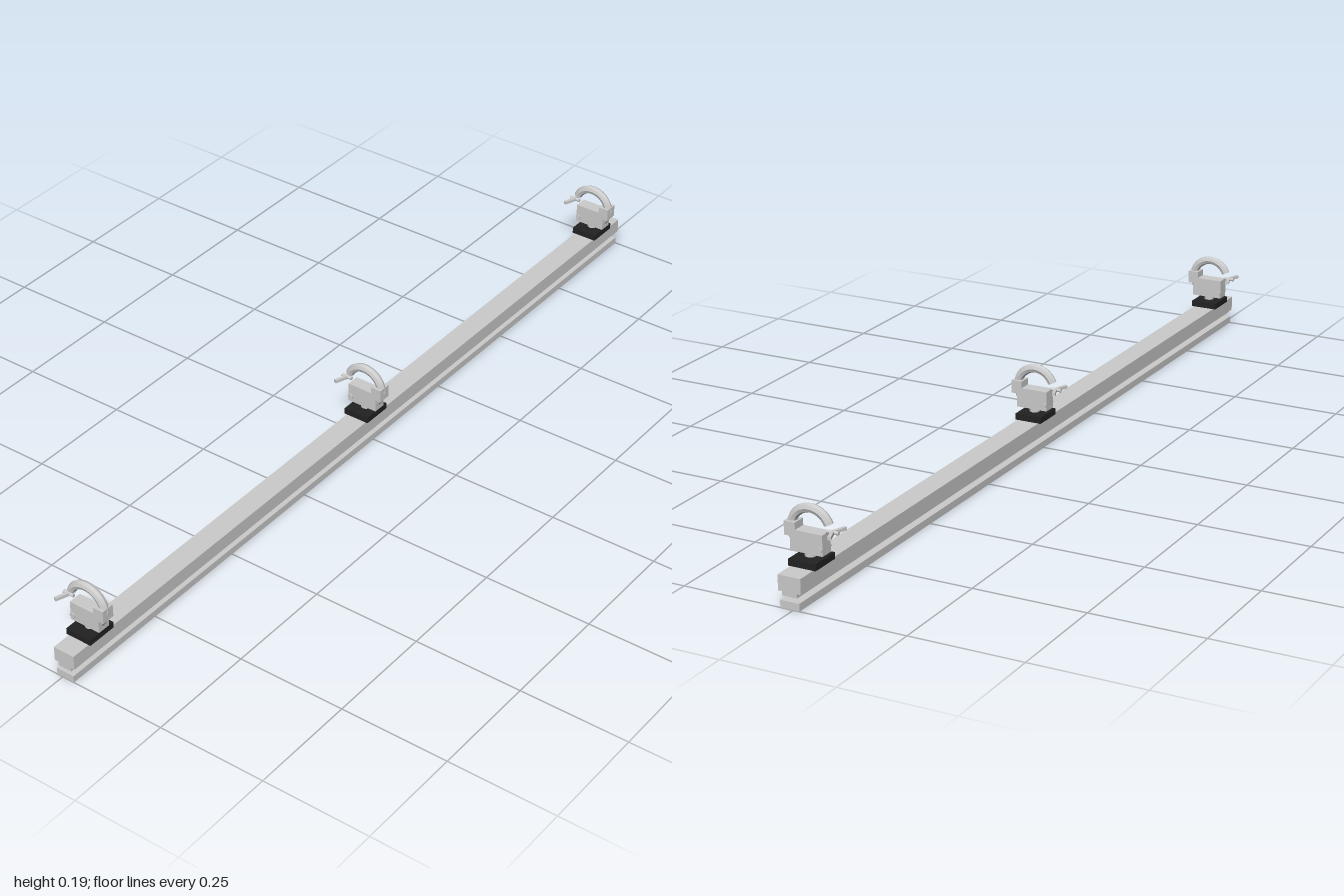
import * as THREE from 'three';

const grey = new THREE.MeshStandardMaterial({ color: 0xcccccc, flatShading: true });
const black = new THREE.MeshStandardMaterial({ color: 0x222222, flatShading: true });

function add(parent, name, geometry, material = grey) {
  const mesh = new THREE.Mesh(geometry, material);
  mesh.name = name;
  parent.add(mesh);
  return mesh;
}

// Box given by its width in x and its limits in y and z
function box(parent, name, width, y0, y1, z0, z1, material) {
  const mesh = add(parent, name, new THREE.BoxGeometry(width, y1 - y0, z1 - z0), material);
  mesh.position.set(0, (y0 + y1) / 2, (z0 + z1) / 2);
  return mesh;
}

// Cylinder lying along z
function rod(parent, name, radius, y, z0, z1, sides) {
  const geometry = new THREE.CylinderGeometry(radius, radius, z1 - z0, sides).rotateX(Math.PI / 2);
  const mesh = add(parent, name, geometry);
  mesh.position.set(0, y, (z0 + z1) / 2);
  return mesh;
}

// Curved clamp arm in the y-z plane
class HookCurve extends THREE.Curve {
  getPoint(t, target = new THREE.Vector3()) {
    const a = THREE.MathUtils.degToRad(158 - 208 * t);
    return target.set(0, 0.137 + 0.0435 * Math.sin(a), 0.006 - 0.0435 * Math.cos(a));
  }
}

// The curve runs from the front lug, over the top, to the hinge at the back
function hookGeometry() {
  const curve = new HookCurve();
  const parts = new THREE.TubeGeometry(curve, 28, 0.0098, 8, false);
  const p = parts.attributes.position;
  for (let i = 0; i < p.count; i++) p.setZ(i, 0.012 - p.getZ(i));
  // Mirroring z turns the faces over, so swap the corner order back
  const idx = parts.index;
  for (let i = 0; i < idx.count; i += 3) {
    const b = idx.getX(i + 1);
    idx.setX(i + 1, idx.getX(i + 2));
    idx.setX(i + 2, b);
  }
  parts.computeVertexNormals();
  return parts;
}

function createClamp() {
  const clamp = new THREE.Group();
  clamp.name = 'clamp';

  box(clamp, 'basePlate', 0.07, 0.068, 0.082, -0.024, 0.038, black);
  const neck = add(clamp, 'neck', new THREE.CylinderGeometry(0.0115, 0.0115, 0.01, 12));
  neck.position.set(0, 0.0865, 0.0085);

  box(clamp, 'clampBody', 0.03, 0.091, 0.135, -0.028, 0.045);
  box(clamp, 'frontLug', 0.03, 0.121, 0.15, 0.033, 0.058);

  // Hook with closed ends
  const hook = add(clamp, 'hookArm', hookGeometry());
  hook.material = new THREE.MeshStandardMaterial({ color: 0xcccccc, flatShading: true, side: THREE.DoubleSide });
  for (const degrees of [158, -50]) {
    const a = THREE.MathUtils.degToRad(degrees);
    const cap = add(clamp, 'hookEnd', new THREE.CylinderGeometry(0.0096, 0.0096, 0.002, 8));
    cap.position.set(0, 0.137 + 0.0435 * Math.sin(a), 0.006 - 0.0435 * Math.cos(a));
    cap.rotation.x = a;
  }

  // Hinge pin across the back of the body
  const pin = add(clamp, 'hingePin', new THREE.CylinderGeometry(0.006, 0.006, 0.036, 10).rotateZ(Math.PI / 2));
  pin.position.set(0, 0.104, -0.022);

  // Clamping screw with two swept wings
  rod(clamp, 'screw', 0.004, 0.139, -0.056, -0.03, 10);
  for (const side of [-1, 1]) {
    const wing = add(clamp, 'screwWing', new THREE.BoxGeometry(0.03, 0.007, 0.007));
    wing.position.set(side * 0.016, 0.139, -0.048);
    wing.rotation.y = side * 0.35;
  }
  return clamp;
}

export function createModel() {
  const model = new THREE.Group();
  model.name = 'railWithClamps';

  // Long rail with narrower underside and separate lower strip
  box(model, 'railBody', 2, 0.035, 0.068, -0.018, 0.033);
  box(model, 'railUnderside', 2, 0.026, 0.035, -0.009, 0.024);
  box(model, 'lowerStrip', 2, 0, 0.016, -0.014, 0.029);

  for (const x of [-0.92, 0, 0.92]) {
    const clamp = createClamp();
    clamp.position.x = x;
    model.add(clamp);
  }
  return model;
}
